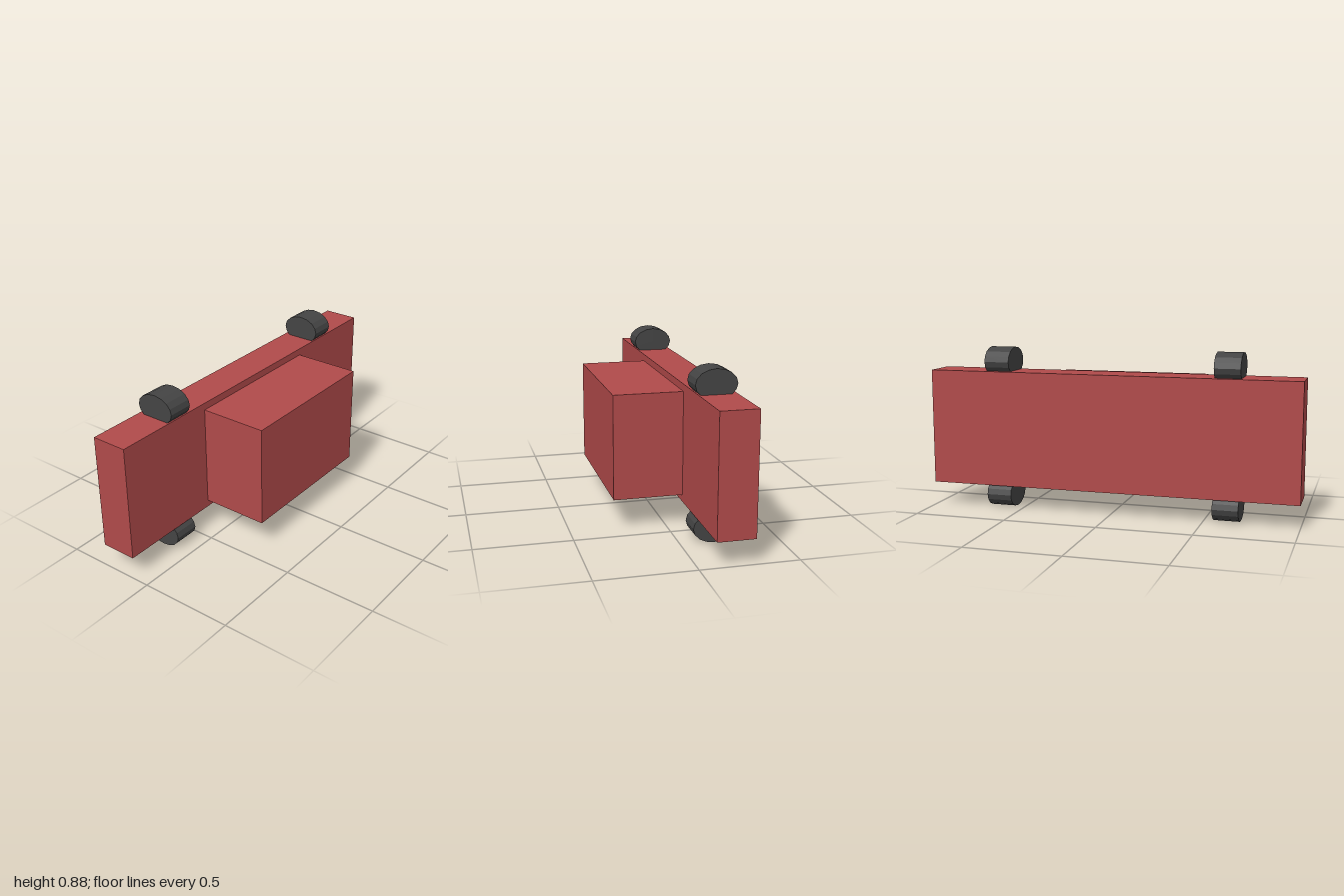
import * as THREE from 'three';

export function createModel() {
  const model = new THREE.Group();
  model.name = 'car';

  const paint = new THREE.MeshStandardMaterial({ color: 0xb04a4a });
  paint.name = 'red paint';
  const rubber = new THREE.MeshStandardMaterial({ color: 0x444444, flatShading: true });
  rubber.name = 'dark rubber';

  function box(name, size, position) {
    const mesh = new THREE.Mesh(new THREE.BoxGeometry(...size), paint);
    mesh.name = name;
    mesh.position.set(...position);
    model.add(mesh);
  }

  // Long body slab with the cabin block on its +z face
  box('body', [2, 0.622, 0.194], [0, 0.438, -0.181]);
  box('cabin', [0.84, 0.546, 0.362], [0, 0.438, 0.097]);

  // Squashed wheels, axle along x, half sunk into the body edges
  const wheelGeometry = new THREE.CylinderGeometry(1, 1, 0.136, 16);
  wheelGeometry.rotateZ(Math.PI / 2);
  wheelGeometry.scale(1, 0.076, 0.107);
  for (const [side, x] of [['left', 0.62], ['right', -0.62]]) {
    for (const [level, y] of [['Lower', 0.076], ['Upper', 0.8]]) {
      const wheel = new THREE.Mesh(wheelGeometry, rubber);
      wheel.name = `${side}${level}Wheel`;
      wheel.position.set(x, y, -0.171);
      model.add(wheel);
    }
  }

  return model;
}
